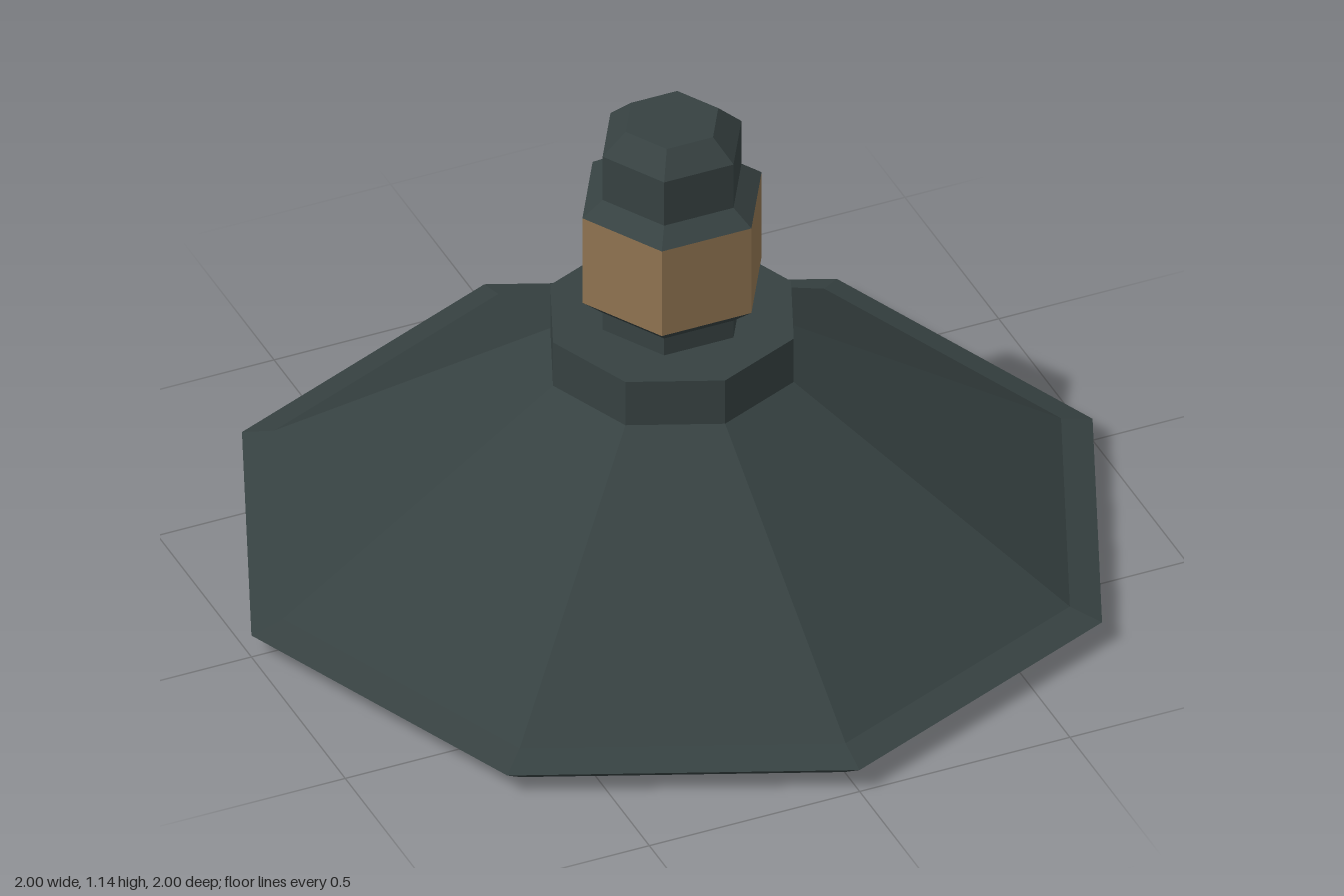
import * as THREE from 'three';

const darkMetal = new THREE.MeshStandardMaterial({ color: 0x364141, flatShading: true });
darkMetal.name = 'dark metal';
const brass = new THREE.MeshStandardMaterial({ color: 0x8f7350, flatShading: true });
brass.name = 'brass';

// Faceted solid of revolution with corners on the x axis; profile is [radius, y]
function turned(name, sides, material, profile) {
  const points = profile.map(([r, y]) => new THREE.Vector2(r, y));
  const geometry = new THREE.LatheGeometry(points, sides, Math.PI / 2);
  const mesh = new THREE.Mesh(geometry, material);
  mesh.name = name;
  return mesh;
}

export function createModel() {
  const lamp = new THREE.Group();
  lamp.name = 'hangingLamp';

  // Hollow shade: inner ceiling, inner cone, bevelled rim, outer cone
  lamp.add(turned('shade', 8, darkMetal, [
    [0, 0.47], [0.26, 0.47], [0.92, 0], [1, 0.057], [0.925, 0.08], [0.283, 0.515],
  ]));

  // Collar on top of the shade
  lamp.add(turned('collar', 8, darkMetal, [
    [0.283, 0.515], [0.283, 0.63], [0, 0.63],
  ]));

  // Hexagonal neck, flaring out to the brass band
  lamp.add(turned('neck', 6, darkMetal, [
    [0.165, 0.62], [0.165, 0.675], [0.213, 0.715],
  ]));
  lamp.add(turned('brassBand', 6, brass, [
    [0.213, 0.715], [0.213, 0.94],
  ]));

  // Cap, stepping in above the band with a chamfered top
  lamp.add(turned('cap', 6, darkMetal, [
    [0.213, 0.94], [0.165, 0.975], [0.165, 1.09], [0.11, 1.14], [0, 1.14],
  ]));

  // Socket hanging inside the shade
  lamp.add(turned('socket', 6, darkMetal, [
    [0, 0.285], [0.157, 0.285], [0.213, 0.33], [0.213, 0.48],
  ]));

  return lamp;
}
